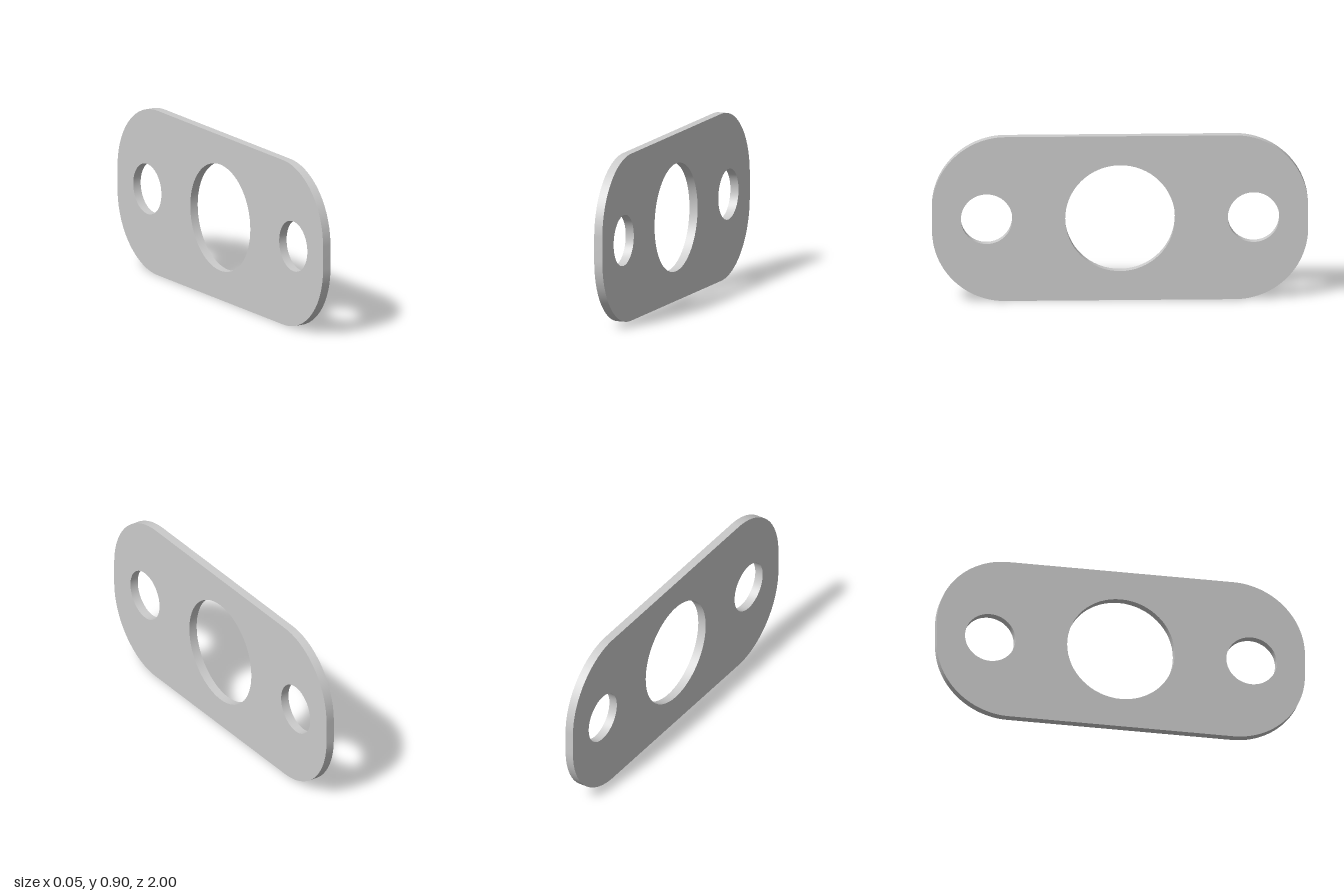
import * as THREE from 'three';
import { toCreasedNormals } from 'three/addons/utils/BufferGeometryUtils.js';

const HALF_LENGTH = 1, HEIGHT = 0.904, THICKNESS = 0.047, CORNER = 0.39;

// Rectangle with rounded corners, centred on the origin
function roundedRect(w, h, r) {
  const s = new THREE.Shape();
  s.absarc(w - r, h - r, r, 0, Math.PI / 2);
  s.absarc(r - w, h - r, r, Math.PI / 2, Math.PI);
  s.absarc(r - w, r - h, r, Math.PI, Math.PI * 1.5);
  s.absarc(w - r, r - h, r, Math.PI * 1.5, Math.PI * 2);
  s.closePath();
  return s;
}

function hole(x, r) {
  return new THREE.Path().absarc(x, 0, r, 0, Math.PI * 2, true);
}

export function createModel() {
  const group = new THREE.Group();
  group.name = 'flangePlate';

  // Plate outline with a central bore and two bolt holes
  const outline = roundedRect(HALF_LENGTH, HEIGHT / 2, CORNER);
  outline.holes.push(hole(0, 0.292));
  for (const side of [-1, 1]) outline.holes.push(hole(side * 0.71, 0.137));

  // Extrude, then turn the plate so its thickness runs along x
  const extruded = new THREE.ExtrudeGeometry(outline, {
    depth: THICKNESS, bevelEnabled: false, curveSegments: 32,
  });
  extruded.translate(0, 0, -THICKNESS / 2).rotateY(Math.PI / 2).translate(0, HEIGHT / 2, 0);

  const plate = new THREE.Mesh(
    toCreasedNormals(extruded, Math.PI / 6),
    new THREE.MeshStandardMaterial({ color: 0xcccccc }),
  );
  plate.name = 'plate';
  group.add(plate);
  return group;
}
